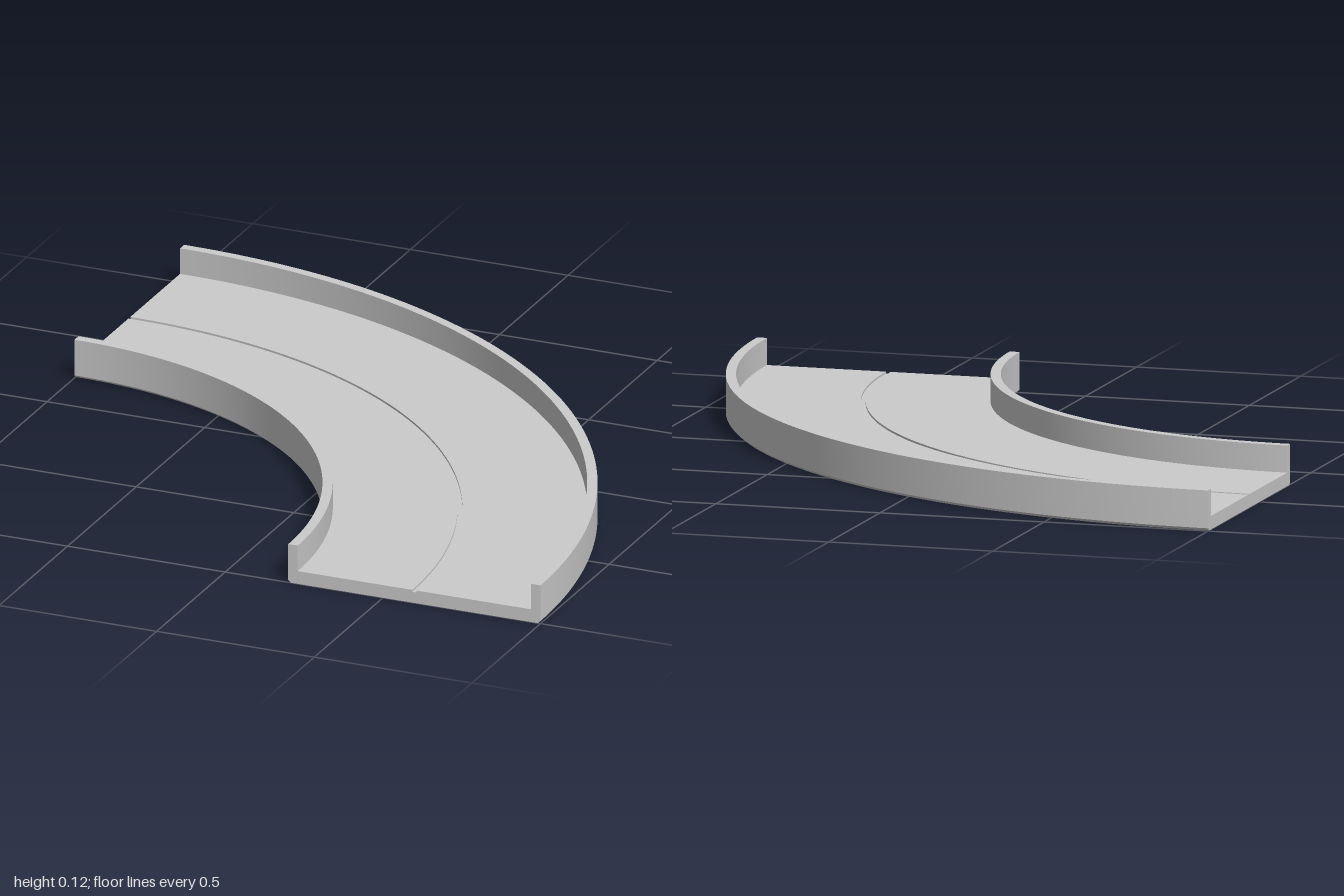
import * as THREE from 'three';
import { toCreasedNormals } from 'three/addons/utils/BufferGeometryUtils.js';

const INNER = 1.2, OUTER = 2.0, WALL = 0.03, FLOOR = 0.04, TOP = 0.12;
const MID = (INNER + OUTER) / 2, SLOT = 0.007, DEPTH = 0.006, BEVEL = 0.008;

// Counter-clockwise channel section: radius, height
const section = [
  [INNER + BEVEL, 0], [OUTER - BEVEL, 0], [OUTER, BEVEL], [OUTER, TOP],
  [OUTER - WALL, TOP], [OUTER - WALL, FLOOR],
  [MID + SLOT, FLOOR], [MID + SLOT, FLOOR - DEPTH],
  [MID - SLOT, FLOOR - DEPTH], [MID - SLOT, FLOOR],
  [INNER + WALL, FLOOR], [INNER + WALL, TOP], [INNER, TOP], [INNER, BEVEL],
].map(([r, y]) => new THREE.Vector2(r, y));

export function createModel() {
  const group = new THREE.Group();
  group.name = 'curvedTrack';
  const material = new THREE.MeshStandardMaterial({ color: 0xcccccc });
  const add = (name, geometry) => {
    const mesh = new THREE.Mesh(geometry, material);
    mesh.name = name;
    mesh.position.set(-1, 0, 1); // centre of the bend
    group.add(mesh);
  };

  // Quarter-turn channel with side walls and centre groove
  const sweep = new THREE.LatheGeometry([...section, section[0].clone()], 64, Math.PI / 2, Math.PI / 2);
  add('trackChannel', toCreasedNormals(sweep, 0.6));

  // Flat faces closing both ends
  add('frontEnd', new THREE.ShapeGeometry(new THREE.Shape(section)));
  const mirrored = section.map((p) => new THREE.Vector2(-p.x, p.y));
  add('sideEnd', new THREE.ShapeGeometry(new THREE.Shape(mirrored)).rotateY(-Math.PI / 2));

  return group;
}
